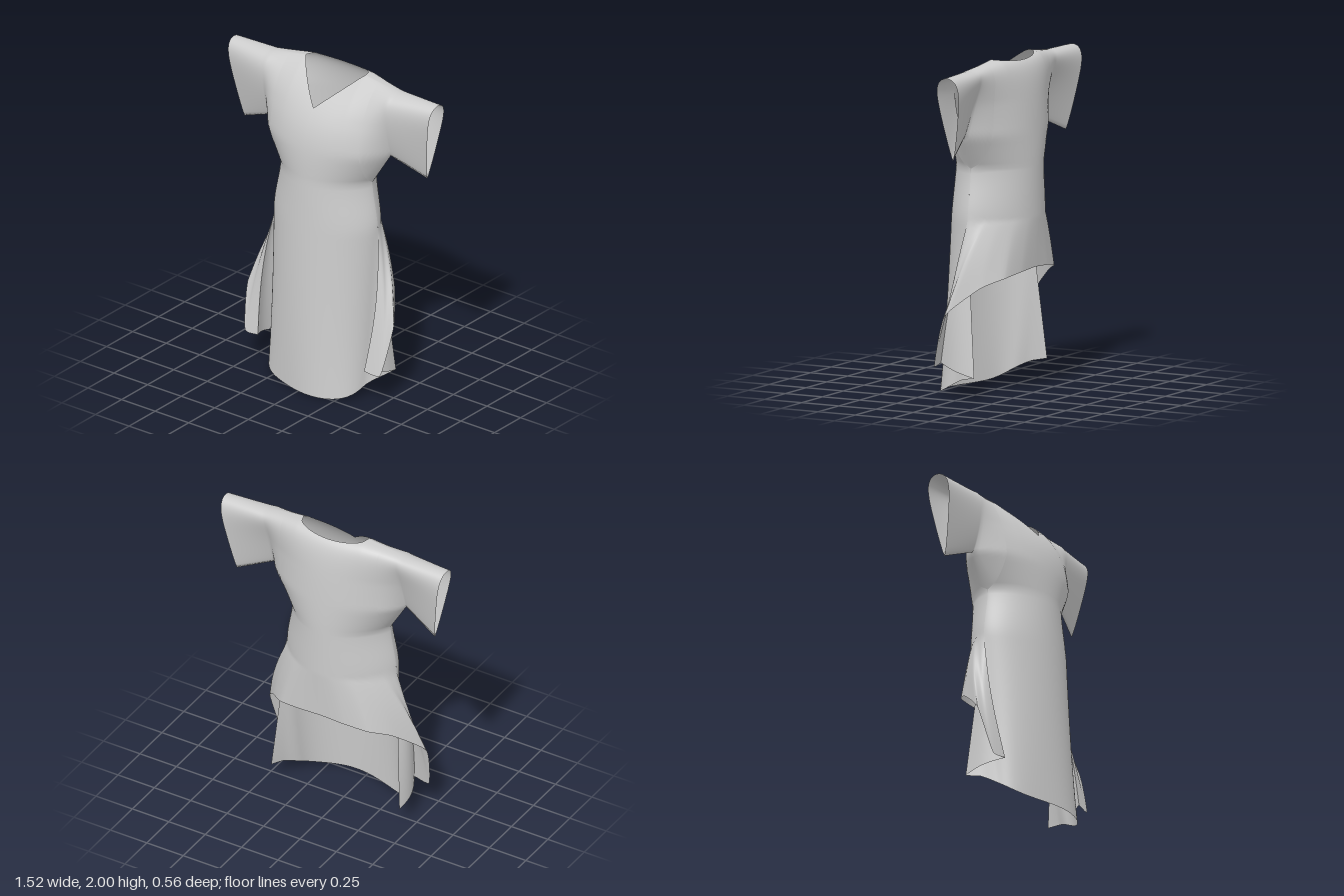
import * as THREE from 'three';
import { mergeGeometries, mergeVertices } from 'three/addons/utils/BufferGeometryUtils.js';

const { lerp, clamp, smoothstep } = THREE.MathUtils;
const SEAM = -0.015, RIDGE = -0.09, WAIST = 1.36, PLEAT = 1.05;
const HALF_PI = Math.PI / 2;

// Grid of cloth: u runs across from -uMax to uMax, v runs upwards
function sheet(nu, nv, uMax, point, flip) {
  const pos = [], index = [];
  for (let j = 0; j <= nv; j++) {
    for (let i = 0; i <= nu; i++) pos.push(...point(lerp(-uMax, uMax, i / nu), j / nv));
  }
  for (let j = 0; j < nv; j++) {
    for (let i = 0; i < nu; i++) {
      const a = j * (nu + 1) + i, b = a + 1, c = a + nu + 1, d = c + 1;
      if (flip) index.push(a, d, b, a, c, d);
      else index.push(a, b, d, a, d, c);
    }
  }
  const g = new THREE.BufferGeometry();
  g.setAttribute('position', new THREE.Float32BufferAttribute(pos, 3));
  g.setIndex(index);
  return g;
}

// Depth of a horizontal body section: 1 in the middle, 0 at the side seam (r = 1).
// A low power gives a boxy section, a high one a lens with pointed sides.
const fullness = (r, power) => Math.pow(Math.max(0, 1 - r * r), power / 2);
const WAIST_POWER = 1.45;
const halfWidth = (y) => lerp(0.37, 0.33, smoothstep(y, PLEAT, WAIST));

// Chest, shoulders and sleeves: |u| up to 1 is the body, from 1 to 2 the sleeve
function upper(isBack) {
  return (u, v) => {
    const a = Math.abs(u), side = Math.sign(u);
    const arm = Math.max(0, a - 1);
    const s = a <= 1 ? 0.33 * Math.sin(a * HALF_PI) : 0.33 + 0.43 * arm;

    // Lower edge: waist, slanted side up to the armpit, then the sleeve
    const out = clamp((s - 0.45) / 0.31, 0, 1);
    const bottom = s < 0.45 ? WAIST + 0.2 * clamp((s - 0.33) / 0.12, 0, 1) : 1.56 - 0.1 * out;

    // Shoulder line and the neckline cut into it
    const top = 2 - 0.035 * clamp((s - 0.22) / 0.25, 0, 1) - 0.005 * out;
    const n = Math.min(1, s / 0.22);
    const edge = n >= 1 ? top : isBack ? 2 - 0.02 * (1 - n * n) : 1.8 + 0.2 * n;

    const y = lerp(bottom, edge, Math.sin(v * HALF_PI));
    const V = clamp((y - bottom) / (top - bottom), 0, 1);
    const x = side * (s - 0.08 * out * (1 - V));

    // The chest widens up to the armpit and fades softly into the sleeve
    const chestWidth = 0.33 + 0.12 * clamp((y - WAIST) / 0.2, 0, 1);
    const power = lerp(WAIST_POWER, 2.2, clamp((y - WAIST) / 0.4, 0, 1));
    const bodyDepth = (isBack ? 0.265 : 0.235) * fullness(s / chestWidth, power);
    const bodyCap = isBack ? Math.pow(1 - V * V, 0.33) : 1 - Math.pow(V, 3.2);
    const armDepth = s < 0.45 ? 0.1 * (s / 0.45) ** 2 : lerp(0.1, 0.085, out);
    const armCap = 1.1 * Math.pow(V, 0.8) * Math.sqrt(1 - V ** 8);
    const mid = lerp(lerp(SEAM, RIDGE, arm), RIDGE, V ** 3);
    const depth = bodyDepth * bodyCap + armDepth * armCap;
    return [x, y, mid + (isBack ? -depth : depth)];
  };
}

// Long front panel, its sides running back to the inner fold of the pleats
function frontPanel(u, v) {
  const a = Math.abs(u);
  const y = lerp(0.13 * a ** 4, WAIST, v);
  const k = (WAIST - y) / WAIST;
  const open = clamp((PLEAT - y) / PLEAT, 0, 1);
  const flare = Math.max(0, (a - 0.85) / 0.15) ** 2;
  const r = Math.sin(a * HALF_PI);
  const x = Math.sign(u) * ((halfWidth(y) - 0.01 * open) * r + 0.09 * open * flare);
  const f = fullness(r, lerp(WAIST_POWER, 0.35, k));
  const wave = 0.03 * k * k * f * (Math.sin(7 * x + 0.6) - 1);
  return [x, y, lerp(SEAM - 0.095 * open, lerp(0.22, 0.287, k), f) + wave];
}

// Hem of the short back panel, from the centre out to the hanging side corner
const backHem = new THREE.CatmullRomCurve3([
  [0, 0.75, -0.265], [0.15, 0.74, -0.26], [0.3, 0.715, -0.225], [0.41, 0.665, -0.125],
  [0.54, 0.5, 0.05], [0.505, 0.2, 0.135], [0.395, 0.2, 0.15],
].map((p) => new THREE.Vector3(...p)), false, 'catmullrom', 0.25);

// Back panel, draped from the waist to its hem, its sides swinging forward
function backPanel(u, v) {
  const a = Math.abs(u);
  const hem = backHem.getPoint(a);
  const y = lerp(hem.y, WAIST, v);
  const f = clamp((PLEAT - y) / (PLEAT - hem.y), 0, 1);
  const r = Math.sin(a * HALF_PI);
  const bulge = 0.035 * Math.sin(f * Math.PI) * r ** 4;
  const x = lerp(halfWidth(y) * r, hem.x, Math.pow(f, 0.9)) + bulge;
  const z = lerp(SEAM - 0.265 * fullness(r, WAIST_POWER), hem.z, f);
  return [Math.sign(u) * x, y, z];
}

// Pleat layer on each side, joining the front panel's edge to the back panel's
function pleat(side) {
  return (u, v) => {
    const t = (1 + u) / 2;
    const pick = (edge, hemY) => {
      const y = lerp(hemY, PLEAT, v);
      return edge(side, (y - hemY) / (WAIST - hemY));
    };
    const inner = pick(frontPanel, 0.13), outer = pick(backPanel, 0.2);
    const p = inner.map((c, i) => lerp(c, outer[i], t));
    p[0] += side * 0.03 * Math.sin(t * Math.PI) * (1 - v);
    return p;
  };
}

export function createModel() {
  const group = new THREE.Group();
  group.name = 'tunicDress';
  const material = new THREE.MeshStandardMaterial({ color: 0xcccccc, side: THREE.DoubleSide });
  const addCloth = (name, geometry) => {
    geometry.computeVertexNormals();
    const mesh = new THREE.Mesh(geometry, material);
    mesh.name = name;
    group.add(mesh);
  };

  // The main cloth is welded along its seams so the shading runs through
  addCloth('tunicCloth', mergeVertices(mergeGeometries([
    sheet(128, 32, 2, upper(false), false),
    sheet(128, 32, 2, upper(true), true),
    sheet(64, 40, 1, frontPanel, false),
    sheet(64, 40, 1, backPanel, true),
  ]), 1e-4));

  addCloth('leftPleat', sheet(10, 30, 1, pleat(1), true));
  addCloth('rightPleat', sheet(10, 30, 1, pleat(-1), false));
  return group;
}
